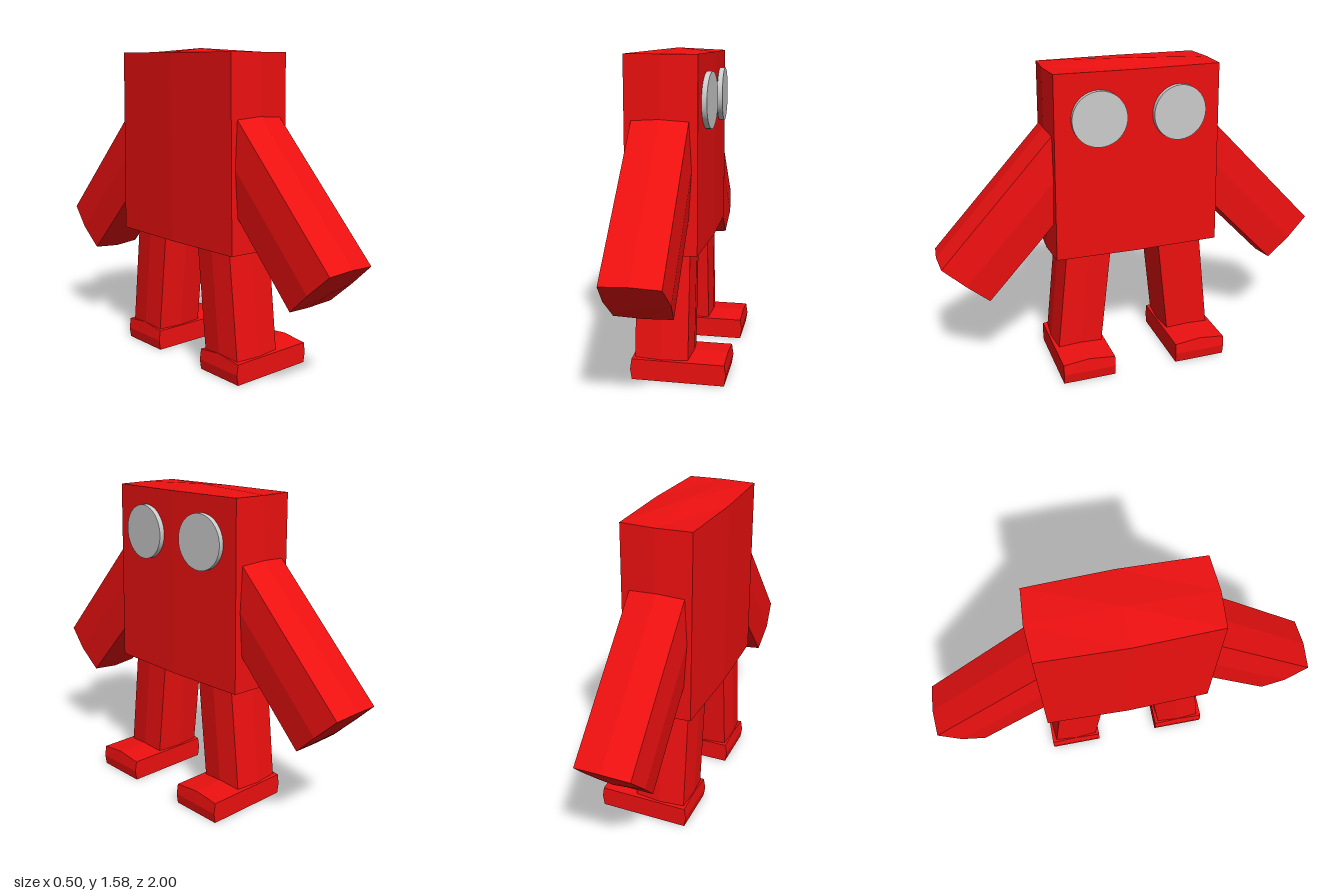
import * as THREE from 'three';

const red = new THREE.MeshStandardMaterial({ color: 0xee1010, flatShading: true });
const grey = new THREE.MeshStandardMaterial({ color: 0xcccccc });

// Box standing on y = 0 whose vertices are moved by a rule in -1..1 coordinates
function shapedBox(w, h, d, rule) {
  const geo = new THREE.BoxGeometry(w, h, d, 2, 2, 2);
  const p = geo.attributes.position;
  for (let i = 0; i < p.count; i++) {
    const x = p.getX(i), y = p.getY(i), z = p.getZ(i);
    const [dx, dy, dz] = rule(Math.sign(x), Math.sign(y), Math.sign(z));
    p.setXYZ(i, x + dx, y + dy + h / 2, z + dz);
  }
  geo.computeVertexNormals();
  return geo;
}

// Sides ridged along the height, ends raised to a low pyramid
const ridge = (bulge, top, bottom, flare = 0) => (u, v, w) => {
  const cap = (1 - Math.abs(u)) * (1 - Math.abs(w));
  return [
    u * bulge * (1 - Math.abs(w)),
    cap * (v > 0 ? top : v < 0 ? -bottom : 0),
    w * (bulge * (1 - Math.abs(u)) - flare * v),
  ];
};

export function createModel() {
  const group = new THREE.Group();
  const add = (name, geo, mat, x, y, z) => {
    const mesh = new THREE.Mesh(geo, mat);
    mesh.name = name;
    mesh.position.set(x, y, z);
    group.add(mesh);
    return mesh;
  };

  // Body, slightly wider at the bottom, with a low peaked top
  add('body', shapedBox(0.345, 0.925, 0.84, ridge(0.012, 0.02, 0, 0.007)), red, -0.067, 0.63, 0.007);

  for (const s of [1, -1]) {
    const side = s > 0 ? 'Front' : 'Back';

    // Arm, placed at the hand end and leaning in to the shoulder
    const arm = add('arm' + side, shapedBox(0.27, 0.9, 0.3, ridge(0.013, 0.01, 0.015)),
      red, -0.07, s > 0 ? 0.545 : 0.552, s * 0.88);
    arm.rotation.x = s > 0 ? -0.747 : 0.773;

    // Leg, splayed slightly outwards
    const leg = add('leg' + side, shapedBox(0.26, 0.65, 0.23, ridge(0.012, 0, 0)),
      red, -0.07, 0.08, s * 0.306 + 0.012);
    leg.rotation.x = -s * 0.11;

    // Foot, flat underneath, ridged on top, with angled toe and heel
    const foot = shapedBox(0.453, 0.105, 0.273, (u, v, w) => [
      u * 0.008 * (1 - Math.abs(v)),
      v > 0 ? 0.015 * (1 - Math.abs(w)) : 0,
      0,
    ]);
    add('foot' + side, foot, red, 0.013, 0, s * 0.305 + 0.012);

    // Eye disc, following the slope of the face
    const eye = add('eye' + side, new THREE.CylinderGeometry(0.135, 0.135, 0.026, 40),
      grey, 0.125, 1.335, s * 0.202 + 0.007);
    eye.rotation.set(0, -s * 0.04, -Math.PI / 2);
  }

  return group;
}
